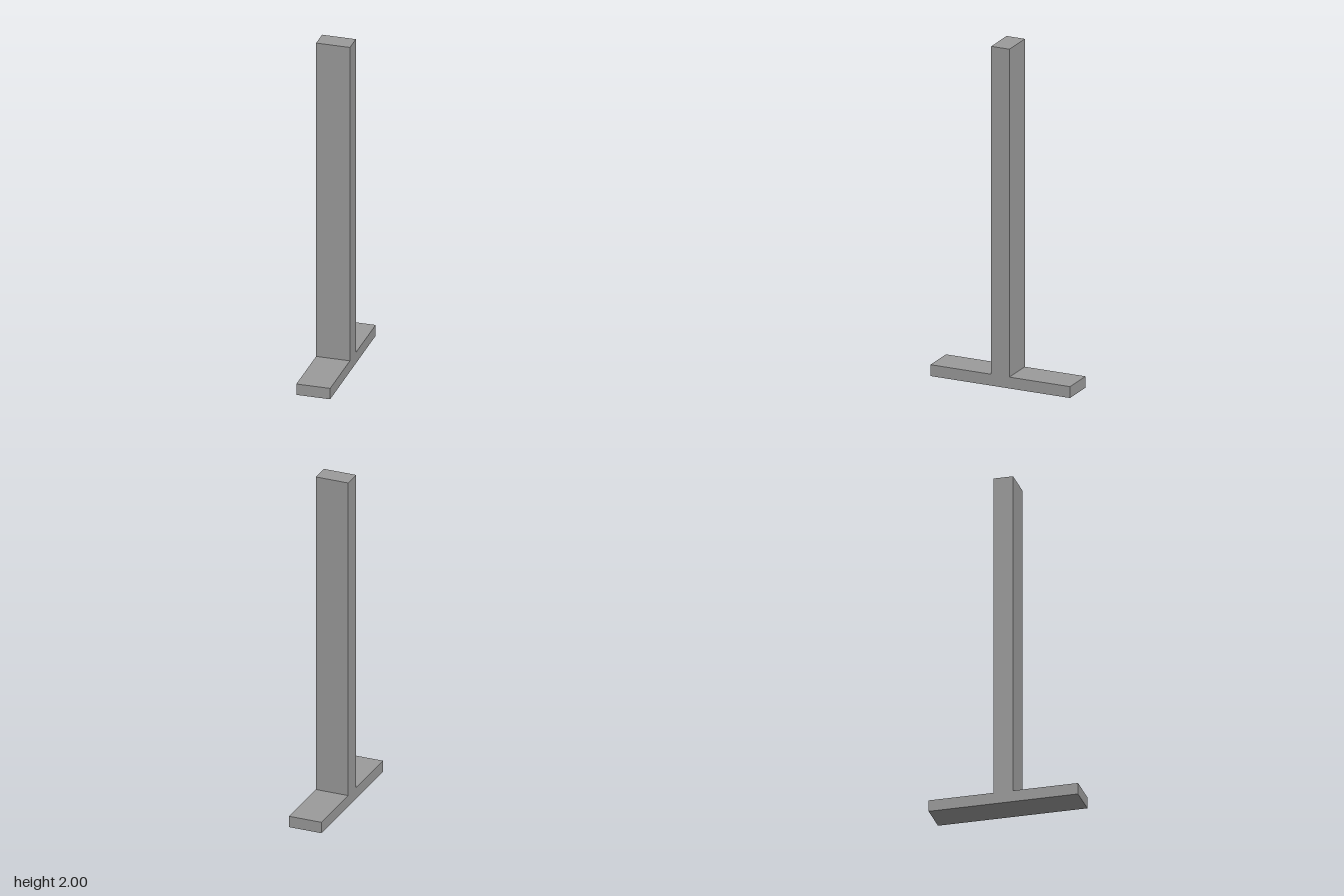
import * as THREE from 'three';

const WIDTH = 0.197;    // along x
const HEIGHT = 2;
const FOOT_HALF = 0.432; // half length of the foot along z
const FOOT_HEIGHT = 0.067;
const POST_HALF = 0.0565; // half thickness of the post along z

export function createModel() {
  const group = new THREE.Group();
  group.name = 'uprightStand';

  // Inverted T outline
  const outline = new THREE.Shape([
    [-FOOT_HALF, 0],
    [FOOT_HALF, 0],
    [FOOT_HALF, FOOT_HEIGHT],
    [POST_HALF, FOOT_HEIGHT],
    [POST_HALF, HEIGHT],
    [-POST_HALF, HEIGHT],
    [-POST_HALF, FOOT_HEIGHT],
    [-FOOT_HALF, FOOT_HEIGHT],
  ].map(([u, y]) => new THREE.Vector2(u, y)));

  // Post and foot are one solid, extruded across the width
  const geometry = new THREE.ExtrudeGeometry(outline, { depth: WIDTH, bevelEnabled: false });
  geometry.translate(0, 0, -WIDTH / 2);
  geometry.rotateY(Math.PI / 2);

  const material = new THREE.MeshStandardMaterial({ color: 0x9a9a9a });
  const stand = new THREE.Mesh(geometry, material);
  stand.name = 'postWithFoot';
  group.add(stand);
  return group;
}
